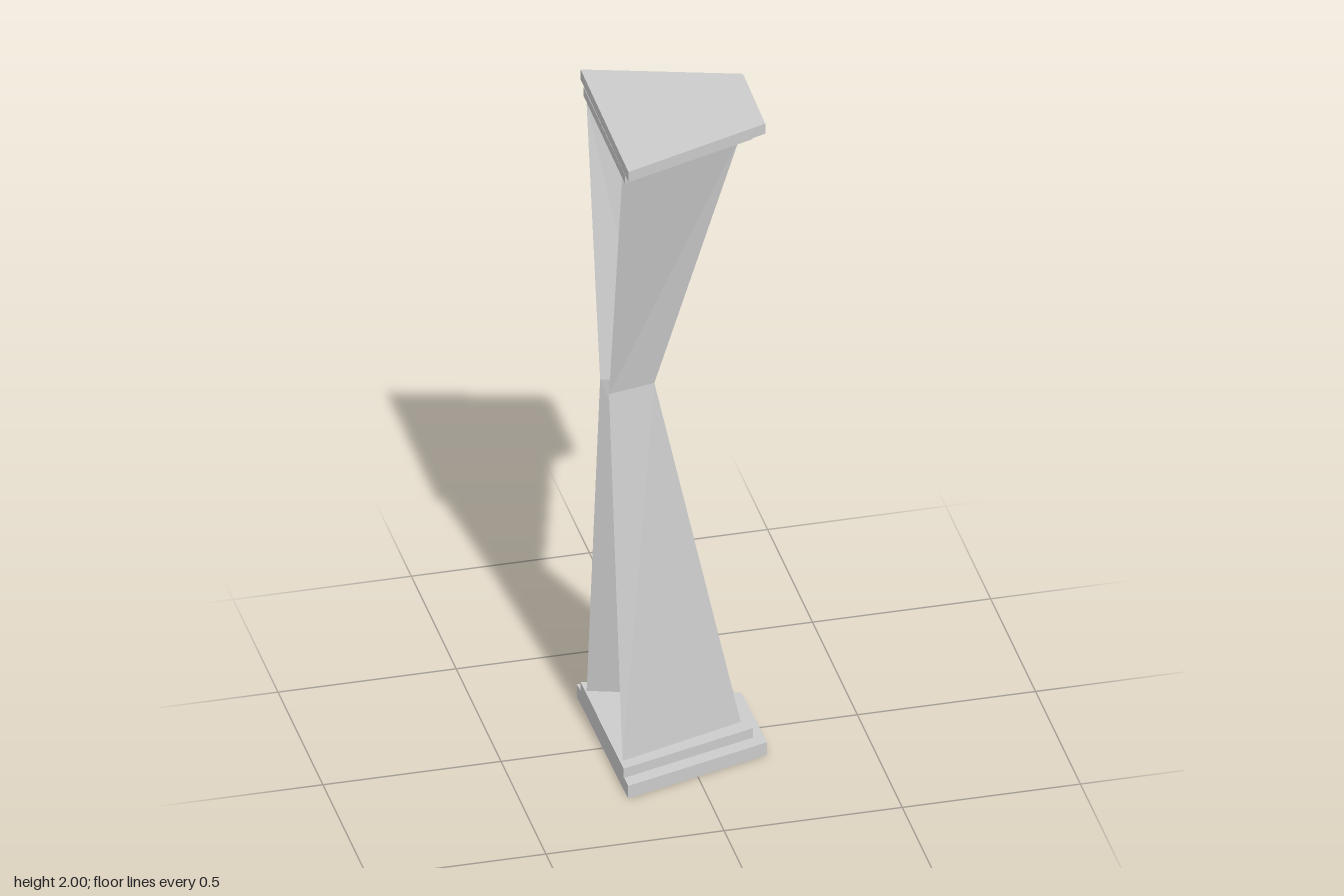
import * as THREE from 'three';

const material = new THREE.MeshStandardMaterial({ color: 0xcccccc, flatShading: true });
const sheetMaterial = new THREE.MeshStandardMaterial({ color: 0xcccccc, flatShading: true, side: THREE.DoubleSide });

// Flat slab from a plan outline of [x, z] corners
function slab(name, plan, y, height) {
  const shape = new THREE.Shape(plan.map(([x, z]) => new THREE.Vector2(x, -z)));
  const geometry = new THREE.ExtrudeGeometry(shape, { depth: height, bevelEnabled: false });
  geometry.rotateX(-Math.PI / 2);
  geometry.translate(0, y, 0);
  const mesh = new THREE.Mesh(geometry, material);
  mesh.name = name;
  return mesh;
}

// Open three-walled shaft: each section lists four corners, front to back
function shaft(sections) {
  const positions = [];
  for (let s = 0; s < sections.length - 1; s++) {
    const low = sections[s], high = sections[s + 1];
    for (let i = 0; i < 3; i++) {
      positions.push(...low[i], ...low[i + 1], ...high[i + 1]);
      positions.push(...low[i], ...high[i + 1], ...high[i]);
    }
  }
  const geometry = new THREE.BufferGeometry();
  geometry.setAttribute('position', new THREE.Float32BufferAttribute(positions, 3));
  geometry.computeVertexNormals();
  const mesh = new THREE.Mesh(geometry, sheetMaterial);
  mesh.name = 'shaft';
  return mesh;
}

export function createModel() {
  const group = new THREE.Group();
  group.name = 'pillar';

  // Slightly skewed trapezoid plans; the top ones mirror the bottom ones in z
  const outer = [[-0.213, 0.28], [0.21, 0.125], [0.215, -0.143], [-0.208, -0.273]];
  const inner = [[-0.213, 0.24], [0.18, 0.1], [0.184, -0.11], [-0.21, -0.23]];
  const flip = (plan) => plan.map(([x, z]) => [x - 0.004, -z]).reverse();

  // Stepped base and capital
  group.add(slab('baseSlab', flip(outer), 0, 0.04));
  group.add(slab('baseStep', flip(inner), 0.04, 0.03));
  group.add(slab('capitalStep', inner, 1.94, 0.028));
  group.add(slab('capitalSlab', outer, 1.968, 0.032));

  // Pinched shaft, open on its -x side
  const section = (y, xRight, zOpen, zRight) => [
    [-0.207, y, zOpen], [xRight, y, zRight], [xRight, y, -zRight], [-0.212, y, -zOpen],
  ];
  group.add(shaft([
    section(0.07, 0.155, 0.19, 0.07),
    section(1.15, -0.073, 0.04, 0.013),
    section(1.94, 0.155, 0.19, 0.07),
  ]));
  return group;
}
